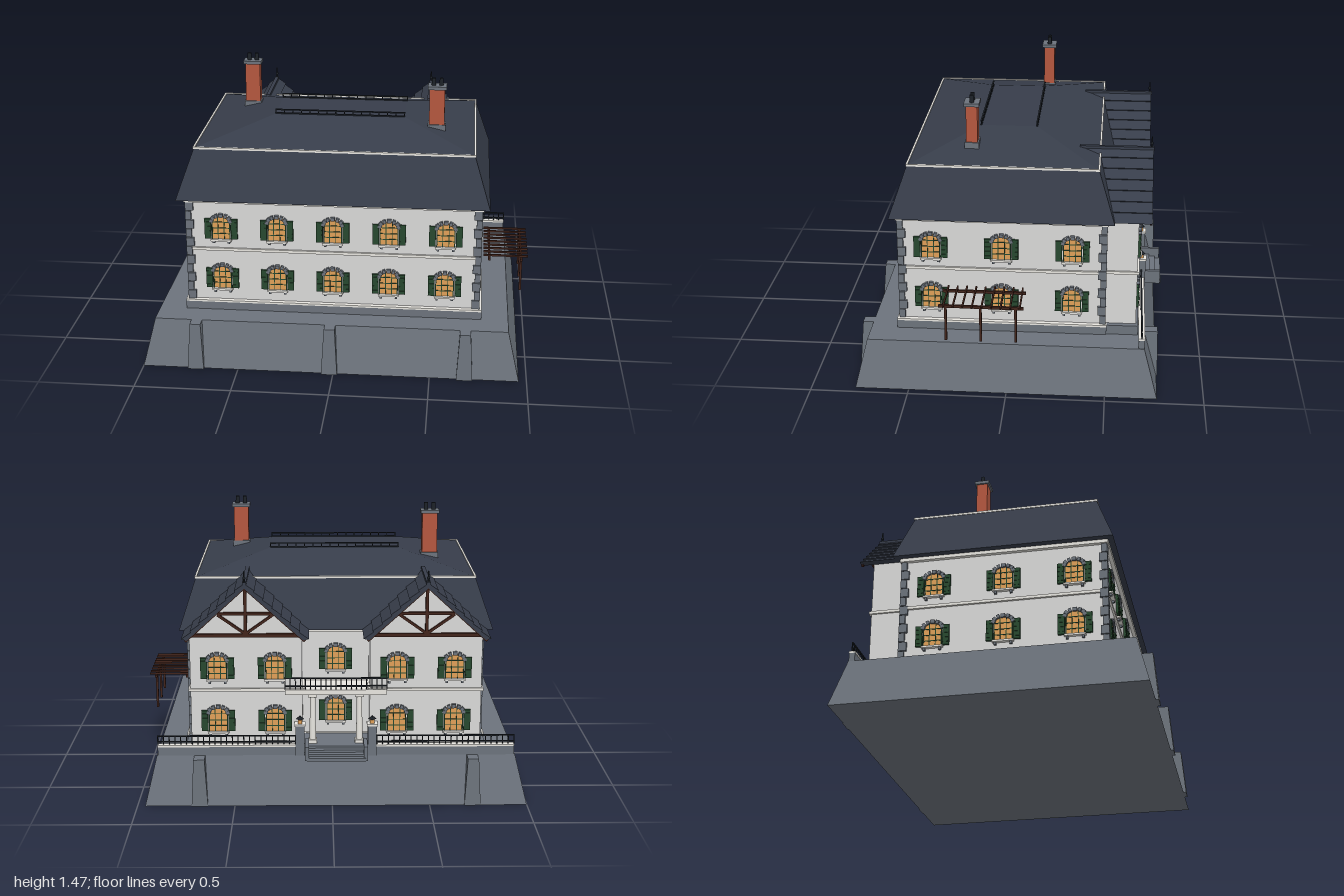
import * as THREE from 'three';

const mat = (name, color, side = THREE.FrontSide) => {
  const m = new THREE.MeshStandardMaterial({ color, side });
  m.name = name;
  return m;
};
const M = {
  wall: mat('pale plaster', 0xd9d9d8), trim: mat('white trim', 0xeeece6), stone: mat('grey stone', 0x6c737c),
  roof: mat('slate', 0x373d4a), brick: mat('brick', 0xb5573f), timber: mat('dark timber', 0x42241b),
  green: mat('shutter green', 0x27482f), glass: mat('lit window', 0xe0a058), iron: mat('iron', 0x1d2228),
};
const CX = -0.02; // symmetry axis of the house

function add(parent, name, geo, material, x = 0, y = 0, z = 0) {
  const m = new THREE.Mesh(geo, material);
  m.name = name;
  m.position.set(x, y, z);
  parent.add(m);
  return m;
}
const box = (p, name, material, w, h, d, x, y, z) => add(p, name, new THREE.BoxGeometry(w, h, d), material, x, y, z);
// box given by its limits
const span = (p, name, material, x0, x1, y0, y1, z0, z1) =>
  box(p, name, material, x1 - x0, y1 - y0, z1 - z0, (x0 + x1) / 2, (y0 + y1) / 2, (z0 + z1) / 2);
function group(parent, name, x = 0, y = 0, z = 0) {
  const g = new THREE.Group();
  g.name = name;
  g.position.set(x, y, z);
  parent.add(g);
  return g;
}
// straight beam in the xy plane
function beam(p, name, material, x0, y0, x1, y1, z, t, d) {
  const b = box(p, name, material, Math.hypot(x1 - x0, y1 - y0), t, d, (x0 + x1) / 2, (y0 + y1) / 2, z);
  b.rotation.z = Math.atan2(y1 - y0, x1 - x0);
}
// solid through stacked rectangles [y, x0, x1, z0, z1]
function stack(levels) {
  const rings = levels.map(([y, x0, x1, z0, z1]) => [[x0, y, z1], [x1, y, z1], [x1, y, z0], [x0, y, z0]]);
  const pos = [];
  const quad = (a, b, c, d) => pos.push(...a, ...b, ...c, ...a, ...c, ...d);
  for (let k = 0; k + 1 < rings.length; k++)
    for (let i = 0; i < 4; i++) {
      const j = (i + 1) % 4;
      quad(rings[k][i], rings[k][j], rings[k + 1][j], rings[k + 1][i]);
    }
  quad(...rings[rings.length - 1]);
  quad(...[...rings[0]].reverse());
  const g = new THREE.BufferGeometry();
  g.setAttribute('position', new THREE.Float32BufferAttribute(pos, 3));
  g.computeVertexNormals();
  return g;
}
function extrude(points, depth) {
  const s = new THREE.Shape(points.map(([x, y]) => new THREE.Vector2(x, y)));
  return new THREE.ExtrudeGeometry(s, { depth, bevelEnabled: false });
}
// iron railing along x
function railing(parent, name, x0, x1, y, z, h, step) {
  const g = group(parent, name);
  for (const k of [0.35, 1]) span(g, 'rail', M.iron, x0, x1, y + h * k - 0.006, y + h * k, z - 0.004, z + 0.004);
  const n = Math.round((x1 - x0) / step);
  for (let i = 0; i <= n; i++) box(g, 'baluster', M.iron, 0.005, h, 0.005, x0 + (x1 - x0) * i / n, y + h / 2, z);
}

// arched window with shutters, facing +z before turning
const archPts = [[-0.046, -0.065], [0.046, -0.065]];
for (let i = 0; i <= 8; i++) {
  const a = Math.PI * i / 8;
  archPts.push([0.046 * Math.cos(a), 0.035 + 0.028 * Math.sin(a)]);
}
const paneGeo = extrude(archPts, 0.005);
function windowUnit(parent, x, y, z, turn) {
  const g = group(parent, 'window', x, y, z);
  g.rotation.y = turn;
  add(g, 'pane', paneGeo, M.glass);
  for (const s of [-1, 1]) {
    box(g, 'mullion', M.green, 0.004, 0.122, 0.004, s * 0.016, -0.004, 0.006);
    box(g, 'frame', M.green, 0.005, 0.102, 0.008, s * 0.046, -0.014, 0.006);
    box(g, 'shutter', M.green, 0.034, 0.11, 0.012, s * 0.069, -0.007, 0.006);
    for (let i = 0; i < 4; i++) box(g, 'shutterSlat', M.green, 0.026, 0.006, 0.004, s * 0.069, -0.045 + i * 0.025, 0.013);
    box(g, 'sillBracket', M.stone, 0.012, 0.014, 0.014, s * 0.04, -0.08, 0.007);
  }
  for (const h of [-0.034, -0.003, 0.03]) box(g, 'glazingBar', M.green, 0.09, 0.004, 0.004, 0, h, 0.006);
  box(g, 'sill', M.trim, 0.108, 0.01, 0.02, 0, -0.069, 0.01);
  for (let i = 0; i < 7; i++) {
    const a = Math.PI * i / 6, v = box(g, i === 3 ? 'keystone' : 'archStone', M.stone, i === 3 ? 0.022 : 0.016, 0.019, 0.016,
      0.049 * Math.cos(a), 0.037 + 0.031 * Math.sin(a), 0.008);
    v.rotation.z = (a - Math.PI / 2) * 0.7;
  }
}

function buildBase(root) {
  const g = group(root, 'base');
  add(g, 'plinth', stack([[0, -1, 0.96, -0.765, 0.775], [0.25, -0.94, 0.9, -0.695, 0.715]]), M.stone);
  for (const x of [-0.72, CX, 0.68]) {
    add(g, 'frontButtress', stack([[0, x - 0.042, x + 0.042, 0.6, 0.79], [0.25, x - 0.028, x + 0.028, 0.6, 0.77]]), M.stone);
    if (x !== CX) add(g, 'backButtress', stack([[0, x - 0.042, x + 0.042, -0.77, -0.6], [0.25, x - 0.028, x + 0.028, -0.765, -0.6]]), M.stone);
  }
  span(g, 'houseFooting', M.stone, -0.8, 0.76, 0.25, 0.292, -0.5, 0.58);
  span(g, 'footingTrim', M.trim, -0.8, 0.76, 0.292, 0.302, -0.5, 0.58);
  span(g, 'wingFooting', M.stone, -0.79, 0.75, 0.25, 0.3, -0.66, -0.5);
  // garden parapet, gate pillars and lanterns
  for (const [x0, x1] of [[-0.935, -0.2], [0.16, 0.895]]) {
    span(g, 'parapet', M.stone, x0, x1, 0.25, 0.295, -0.695, -0.665);
    span(g, 'coping', M.trim, x0, x1, 0.295, 0.305, -0.697, -0.663);
    railing(g, 'parapetRailing', x0, x1, 0.305, -0.68, 0.048, 0.03);
  }
  for (const s of [-1, 1]) {
    const x = CX + s * 0.185;
    box(g, 'gatePillar', M.stone, 0.045, 0.16, 0.045, x, 0.33, -0.68);
    box(g, 'pillarCap', M.trim, 0.055, 0.01, 0.055, x, 0.413, -0.68);
    box(g, 'lantern', M.glass, 0.022, 0.022, 0.022, x, 0.429, -0.68);
    add(g, 'lanternRoof', new THREE.ConeGeometry(0.022, 0.02, 4), M.iron, x, 0.45, -0.68);
    span(g, 'stairCheek', M.stone, x - s * 0.035 - 0.01, x - s * 0.035 + 0.01, 0.25, 0.325, -0.785, -0.65);
  }
  for (let i = 0; i < 4; i++)
    span(g, 'step', M.stone, CX - 0.15, CX + 0.15, 0.25, 0.3 - i * 0.0115, -0.79 + (3 - i) * 0.03, -0.64);
}

function buildWalls(root) {
  const g = group(root, 'walls');
  span(g, 'mainWalls', M.wall, -0.775, 0.735, 0.3, 0.87, -0.48, 0.555);
  span(g, 'stringCourse', M.trim, -0.787, 0.747, 0.582, 0.597, -0.49, 0.566);
  span(g, 'cornice', M.trim, -0.795, 0.755, 0.852, 0.87, -0.5, 0.575);
  // alternating corner stones
  for (const x of [-0.775, 0.735]) for (const z of [-0.48, 0.555]) for (let i = 0; i < 11; i++) {
    const a = i % 2 ? 0.03 : 0.042, b = i % 2 ? 0.042 : 0.03;
    box(g, 'quoin', M.stone, a, 0.046, b, x - Math.sign(x) * (a / 2 - 0.014), 0.327 + i * 0.05, z - Math.sign(z) * (b / 2 - 0.014));
  }
  for (const y of [0.432, 0.712]) {
    for (let i = -2; i <= 2; i++) windowUnit(g, CX + i * 0.292, y, 0.555, 0);
    windowUnit(g, CX, y, -0.48, Math.PI);
    for (const z of [-0.32, 0.04, 0.4]) {
      windowUnit(g, 0.735, y, z, Math.PI / 2);
      windowUnit(g, -0.775, y, z, -Math.PI / 2);
    }
  }
}

function buildRoof(root) {
  const g = group(root, 'mainRoof');
  add(g, 'mansard', stack([[0.87, -0.83, 0.785, -0.53, 0.605], [1.13, -0.74, 0.7, -0.445, 0.515], [1.22, -0.36, 0.325, -0.115, 0.18]]), M.roof);
  for (const z of [-0.445, 0.515]) span(g, 'roofTrim', M.trim, -0.745, 0.705, 1.125, 1.136, z - 0.005, z + 0.005);
  for (const x of [-0.74, 0.7]) span(g, 'roofTrim', M.trim, x - 0.005, x + 0.005, 1.125, 1.136, -0.445, 0.515);
  for (const z of [-0.113, 0.178]) railing(g, 'ridgeCresting', -0.36, 0.325, 1.215, z, 0.03, 0.045);
  for (const [x, z, top] of [[-0.525, -0.13, 1.41], [0.495, 0.205, 1.39]]) {
    const c = group(g, 'chimney', x, 0, z);
    span(c, 'chimneyFoot', M.stone, -0.047, 0.047, 1.13, 1.2, -0.036, 0.036);
    span(c, 'chimneyStack', M.brick, -0.04, 0.04, 1.18, top, -0.029, 0.029);
    span(c, 'chimneyCap', M.stone, -0.049, 0.049, top, top + 0.017, -0.039, 0.039);
    for (const s of [-1, 1]) add(c, 'chimneyPot', new THREE.CylinderGeometry(0.01, 0.012, 0.04, 10), M.iron, s * 0.02, top + 0.035, 0);
  }
}

function buildWing(root, x) {
  const g = group(root, 'gabledWing', x);
  const W = 0.285;
  add(g, 'wingWalls', extrude([[-W, 0.3], [W, 0.3], [W, 0.87], [0, 1.135], [-W, 0.87]], 0.2), M.wall, 0, 0, -0.65);
  span(g, 'wingStringCourse', M.trim, -W - 0.01, W + 0.01, 0.582, 0.597, -0.66, -0.48);
  for (const y of [0.432, 0.712]) for (const s of [-1, 1]) windowUnit(g, s * 0.146, y, -0.65, Math.PI);
  // stepped slate courses on both slopes
  const right = [], n = 7;
  for (let i = 0; i < n; i++)
    for (const [t, o] of [[i / n, 0.008], [(i + 1) / n, 0]]) right.push([0.315 * (1 - t) + o * 0.68, 0.868 + 0.29 * t + o * 0.73]);
  const left = right.slice(0, -1).reverse().map(([a, b]) => [-a, b]);
  add(g, 'gableRoof', extrude([[0.292, 0.866], ...right, ...left, [-0.292, 0.866], [0, 1.133]], 0.385), M.roof, 0, 0, -0.715);
  span(g, 'ridgeCap', M.roof, -0.01, 0.01, 1.145, 1.165, -0.718, -0.34);
  add(g, 'finial', new THREE.CylinderGeometry(0.003, 0.006, 0.09, 8), M.iron, 0, 1.175, -0.706);
  add(g, 'finialBall', new THREE.SphereGeometry(0.008, 10, 8), M.iron, 0, 1.185, -0.706);
  // half-timbering of the gable
  box(g, 'tieBeam', M.timber, 0.58, 0.018, 0.014, 0, 0.878, -0.657);
  box(g, 'kingPost', M.timber, 0.016, 0.25, 0.014, 0, 1.0, -0.657);
  box(g, 'collarBeam', M.timber, 0.28, 0.014, 0.014, 0, 0.99, -0.656);
  for (const s of [-1, 1]) {
    beam(g, 'strut', M.timber, 0, 0.885, s * 0.14, 0.985, -0.656, 0.013, 0.012);
    beam(g, 'bargeBoard', M.timber, s * 0.3, 0.862, 0, 1.138, -0.708, 0.014, 0.012);
  }
}

function buildBalcony(root) {
  const g = group(root, 'balcony', CX);
  span(g, 'deck', M.trim, -0.175, 0.175, 0.565, 0.59, -0.655, -0.48);
  span(g, 'deckEdge', M.trim, -0.26, 0.26, 0.565, 0.592, -0.668, -0.645);
  railing(g, 'balconyRailing', -0.26, 0.26, 0.59, -0.66, 0.065, 0.026);
  for (const s of [-1, 1]) {
    add(g, 'column', new THREE.CylinderGeometry(0.014, 0.017, 0.25, 14), M.trim, s * 0.12, 0.432, -0.635);
    box(g, 'columnBase', M.trim, 0.046, 0.018, 0.046, s * 0.12, 0.309, -0.635);
    box(g, 'columnCapital', M.trim, 0.046, 0.016, 0.046, s * 0.12, 0.557, -0.635);
  }
}

function buildPergola(root) {
  const g = group(root, 'pergola');
  for (const x of [0.795, 0.965]) span(g, 'beam', M.timber, x - 0.006, x + 0.006, 0.482, 0.496, -0.09, 0.335);
  for (const z of [-0.05, 0.125, 0.3]) span(g, 'post', M.timber, 0.959, 0.971, 0.3, 0.485, z - 0.006, z + 0.006);
  for (let i = 0; i < 9; i++) box(g, 'slat', M.timber, 0.235, 0.01, 0.008, 0.8825, 0.501, -0.072 + i * 0.0475);
}

export function createModel() {
  const root = new THREE.Group();
  root.name = 'house';
  buildBase(root);
  buildWalls(root);
  buildRoof(root);
  for (const s of [-1, 1]) buildWing(root, CX + s * 0.4575);
  buildBalcony(root);
  buildPergola(root);
  return root;
}
